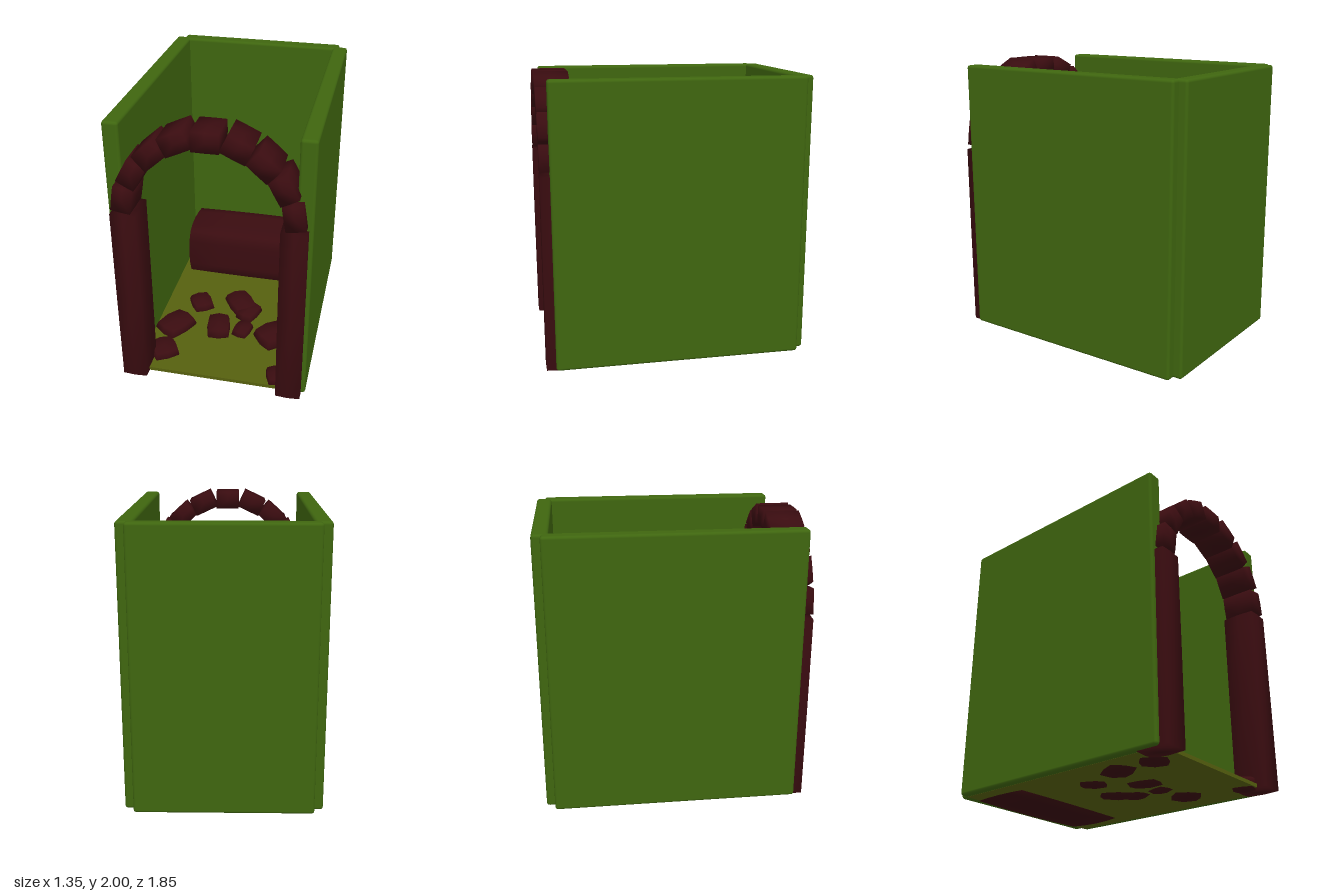
import * as THREE from 'three';
import { RoundedBoxGeometry } from 'three/addons/geometries/RoundedBoxGeometry.js';
import { mergeVertices } from 'three/addons/utils/BufferGeometryUtils.js';

const wallMat = new THREE.MeshStandardMaterial({ color: 0x3f660f });
const floorMat = new THREE.MeshStandardMaterial({ color: 0x56600e });
const stoneMat = new THREE.MeshStandardMaterial({ color: 0x3a0c10 });

function add(parent, name, geometry, material, x, y, z) {
  const mesh = new THREE.Mesh(geometry, material);
  mesh.name = name;
  mesh.position.set(x, y, z);
  parent.add(mesh);
  return mesh;
}

// Box with shrunken edges and corners, shaded smoothly like a worn block
function stoneGeometry(w, h, d, wear, seg = 2) {
  let g = new THREE.BoxGeometry(w, h, d, seg, seg, seg);
  g.deleteAttribute('normal');
  g.deleteAttribute('uv');
  g = mergeVertices(g);
  const p = g.attributes.position;
  for (let i = 0; i < p.count; i++) {
    const x = p.getX(i), y = p.getY(i), z = p.getZ(i);
    const a = (2 * x / w) ** 2, b = (2 * y / h) ** 2, c = (2 * z / d) ** 2;
    p.setXYZ(i,
      x * (1 - wear * (b + c) / 2),
      y * (1 - wear * (a + c) / 2),
      z * (1 - wear * (a + b) / 2));
  }
  g.computeVertexNormals();
  return g;
}

export function createModel() {
  const model = new THREE.Group();
  model.name = 'stoneArchRoom';

  // Floor and three walls
  add(model, 'floor', new THREE.BoxGeometry(1.24, 0.026, 1.7), floorMat, 0, 0.037, 0);
  add(model, 'backWall', new RoundedBoxGeometry(1.22, 1.96, 0.11, 2, 0.02), wallMat, 0, 1.005, -0.87);
  for (const s of [-1, 1]) {
    add(model, s > 0 ? 'leftWall' : 'rightWall',
      new RoundedBoxGeometry(0.11, 1.96, 1.72, 2, 0.02), wallMat, s * 0.618, 1.005, -0.005);
  }

  // Doorway pillars and arch blocks: x, y, tilt in degrees
  const doorway = new THREE.Group();
  doorway.name = 'doorway';
  model.add(doorway);
  const blocks = [[0.195, 1.905, 25], [0.36, 1.805, 42], [0.485, 1.66, 62], [0.555, 1.475, 81]];
  const block = stoneGeometry(0.18, 0.135, 0.24, 0.02);
  add(doorway, 'keystone', block, stoneMat, 0, 1.933, 0.8);
  for (const s of [-1, 1]) {
    add(doorway, s > 0 ? 'leftPillar' : 'rightPillar',
      stoneGeometry(0.175, 1.36, 0.24, 0.015), stoneMat, s * 0.557, 0.695, 0.8);
    for (const [x, y, tilt] of blocks) {
      add(doorway, 'archBlock', block, stoneMat, s * x, y, 0.8)
        .rotation.z = -s * THREE.MathUtils.degToRad(tilt);
    }
  }

  // Stone bench against the back wall
  add(model, 'bench', stoneGeometry(1.06, 0.445, 0.46, 0.06, 4), stoneMat, 0, 0.23, -0.64);

  // Paving stones set through the floor: x, z, width, depth, turn, top height
  const paving = [
    [-0.285, 0.04, 0.17, 0.2, 0.56, 0.11],
    [0.03, -0.01, 0.2, 0.27, 0.63, 0.12],
    [0.115, 0.09, 0.15, 0.21, -0.35, 0.11],
    [-0.41, 0.355, 0.22, 0.28, -0.55, 0.12],
    [-0.08, 0.315, 0.18, 0.25, 0.2, 0.12],
    [0.107, 0.305, 0.13, 0.17, -0.25, 0.1],
    [0.357, 0.345, 0.23, 0.26, -0.8, 0.14],
    [-0.42, 0.65, 0.2, 0.21, 0.6, 0.11],
    [0.45, 0.76, 0.14, 0.17, 0.3, 0.1],
  ];
  for (const [x, z, w, d, turn, top] of paving) {
    add(model, 'pavingStone', stoneGeometry(w, top - 0.01, d, 0.22), stoneMat, x, (top + 0.01) / 2, z)
      .rotation.y = turn;
  }
  return model;
}
